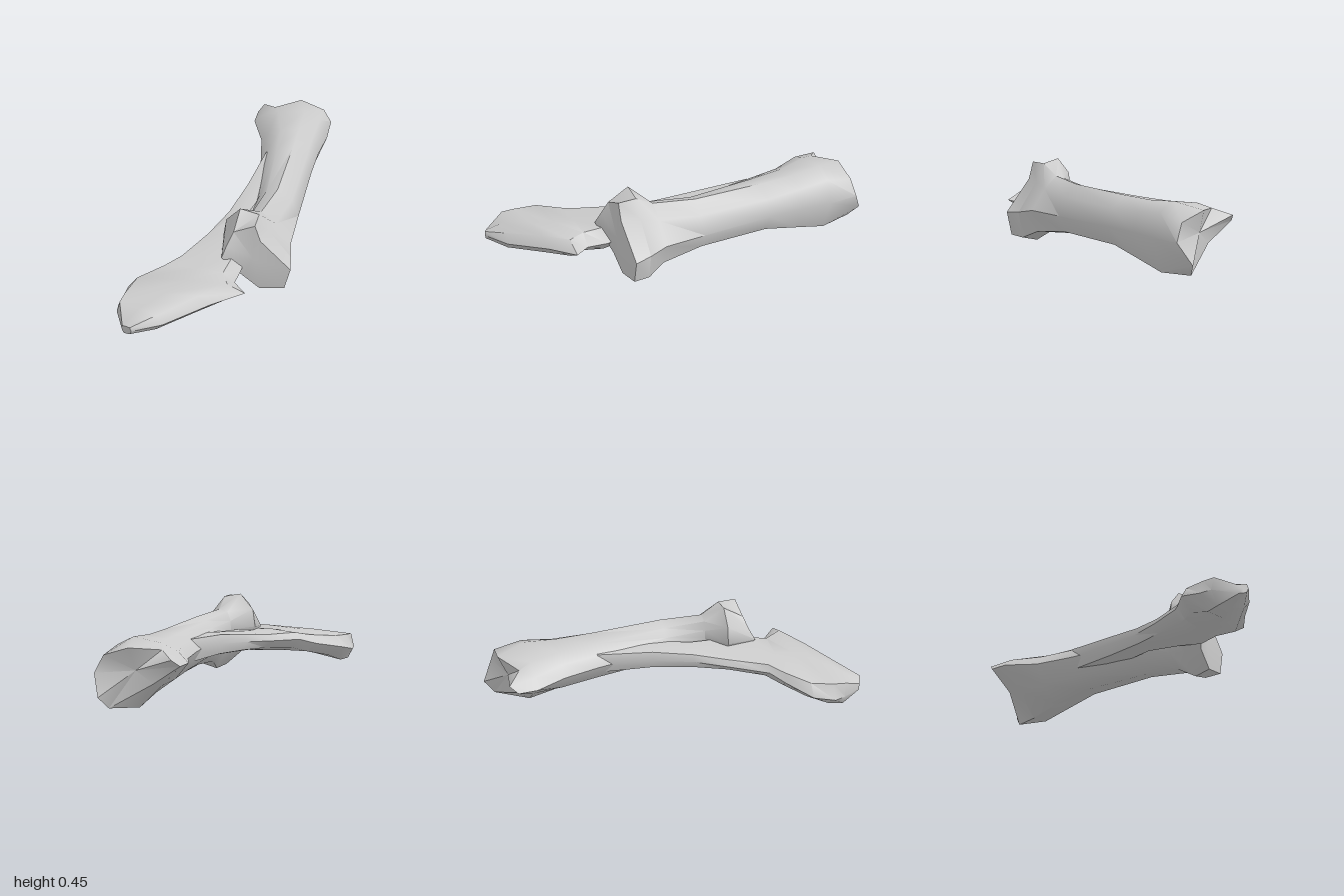
import * as THREE from 'three';
import { toCreasedNormals } from 'three/addons/utils/BufferGeometryUtils.js';

const material = new THREE.MeshStandardMaterial({ color: 0xcccccc });

// Skins equal-length rings that run towards +z; both ends are closed by a fan
// whose centre is pushed along z.
function loft(name, rings, pushStart, pushEnd) {
  const n = rings[0].length;
  const pos = rings.flat(2);
  const index = [];
  for (let i = 0; i < rings.length - 1; i++) {
    for (let j = 0; j < n; j++) {
      const k = (j + 1) % n;
      const a = i * n + j, b = i * n + k;
      index.push(a, a + n, b, b, a + n, b + n);
    }
  }
  const cap = (ring, start, push, flip) => {
    const c = pos.length / 3;
    for (let d = 0; d < 3; d++) pos.push(ring.reduce((s, p) => s + p[d], 0) / n + (d === 2 ? push : 0));
    for (let j = 0; j < n; j++) {
      const a = start + j, b = start + (j + 1) % n;
      index.push(c, ...(flip ? [b, a] : [a, b]));
    }
  };
  cap(rings[0], 0, pushStart, false);
  cap(rings[rings.length - 1], (rings.length - 1) * n, pushEnd, true);
  const geo = new THREE.BufferGeometry();
  geo.setAttribute('position', new THREE.Float32BufferAttribute(pos, 3));
  geo.setIndex(index);
  const mesh = new THREE.Mesh(toCreasedNormals(geo, 0.85), material);
  mesh.name = name;
  return mesh;
}

// All shaft rings run from the left edge over the top to the right edge
// and back underneath. A flat ring lies at one z.
const flat = (z, points) => points.map(([x, y]) => [x, y, z]);

// Notched knuckle at the back, with a spur low on one side
const knuckle = [
  [[-0.05, 0.25, -0.87], [-0.02, 0.285, -0.91], [0.06, 0.32, -0.84], [0.2, 0.335, -0.93], [0.34, 0.29, -0.925],
    [0.385, 0.2, -0.94], [0.335, 0.09, -1], [0.3, 0.03, -0.95], [0.1, 0.15, -0.86]],
  flat(-0.77, [[-0.05, 0.25], [0, 0.3], [0.09, 0.34], [0.25, 0.365], [0.34, 0.32], [0.39, 0.2], [0.33, 0.02], [0.22, 0.005], [0.09, 0.13]]),
  flat(-0.6, [[0.03, 0.24], [0.07, 0.3], [0.14, 0.335], [0.25, 0.35], [0.33, 0.3], [0.37, 0.2], [0.33, 0.06], [0.21, 0.05], [0.1, 0.13]]),
];
const shank = [
  flat(-0.4, [[0.07, 0.24], [0.1, 0.3], [0.16, 0.335], [0.25, 0.35], [0.33, 0.29], [0.365, 0.2], [0.32, 0.1], [0.21, 0.085], [0.12, 0.14]]),
  flat(0, [[0.12, 0.24], [0.15, 0.3], [0.19, 0.34], [0.25, 0.36], [0.33, 0.3], [0.37, 0.2], [0.33, 0.11], [0.24, 0.09], [0.16, 0.15]]),
  flat(0.23, [[0.14, 0.26], [0.14, 0.31], [0.16, 0.36], [0.21, 0.375], [0.29, 0.31], [0.375, 0.2], [0.34, 0.08], [0.25, 0.07], [0.17, 0.14]]),
];
// Flared flange with a tall, bevelled peak
const flange = [
  flat(0.33, [[0.03, 0.27], [0.045, 0.37], [0.12, 0.455], [0.22, 0.435], [0.27, 0.34], [0.395, 0.18], [0.37, 0.035], [0.27, 0.01], [0.16, 0.11]]),
  [[0.06, 0.25, 0.5], [0.08, 0.31, 0.47], [0.11, 0.385, 0.44], [0.22, 0.435, 0.43], [0.25, 0.34, 0.43],
    [0.41, 0.17, 0.42], [0.38, 0.04, 0.42], [0.25, 0.02, 0.43], [0.16, 0.1, 0.44]],
];

// Branch rings: left edge x,z, right edge x,z, then top and bottom height
// at the left and at the right.
const branch = [
  [0.09, -0.4, 0.22, -0.4, 0.31, 0.18, 0.31, 0.16],
  [0.05, -0.1, 0.2, -0.1, 0.29, 0.18, 0.3, 0.15],
  [0, 0.12, 0.135, 0.13, 0.26, 0.17, 0.28, 0.14],
  [-0.08, 0.3, 0.16, 0.33, 0.235, 0.16, 0.26, 0.12],
  [-0.18, 0.5, 0.16, 0.47, 0.225, 0.14, 0.25, 0.08],
  [-0.26, 0.57, 0.15, 0.58, 0.205, 0.1, 0.235, 0.1],
  [-0.39, 0.68, 0.225, 0.67, 0.19, 0.055, 0.245, 0.13],
  [-0.41, 0.8, 0.07, 0.77, 0.185, 0.005, 0.22, 0.11],
  [-0.4, 0.86, -0.14, 0.92, 0.185, 0.015, 0.165, 0.07],
  [-0.34, 0.97, -0.28, 1, 0.12, 0.07, 0.14, 0.09],
];

function branchRing([ax, az, bx, bz, topL, botL, topR, botR]) {
  // [distance across, height between bottom and top]
  const outline = [[0, 0.5], [0.08, 0.95], [0.5, 1], [0.85, 0.95], [1, 0.5], [0.85, 0.1], [0.5, 0], [0.15, 0.02]];
  return outline.map(([u, v]) => {
    const top = topL + (topR - topL) * u, bot = botL + (botR - botL) * u;
    return [ax + (bx - ax) * u, bot + (top - bot) * v, az + (bz - az) * u];
  });
}

export function createModel() {
  const group = new THREE.Group();
  group.name = 'forkedBone';
  // Long shaft with a knuckle behind and a flared flange in front
  group.add(loft('boneShaft', [...knuckle, ...shank, ...flange], 0.03, 0));
  // Flattened branch that leaves the shaft and widens to a blunt tip
  group.add(loft('boneBranch', branch.map(branchRing), 0, 0));
  return group;
}
